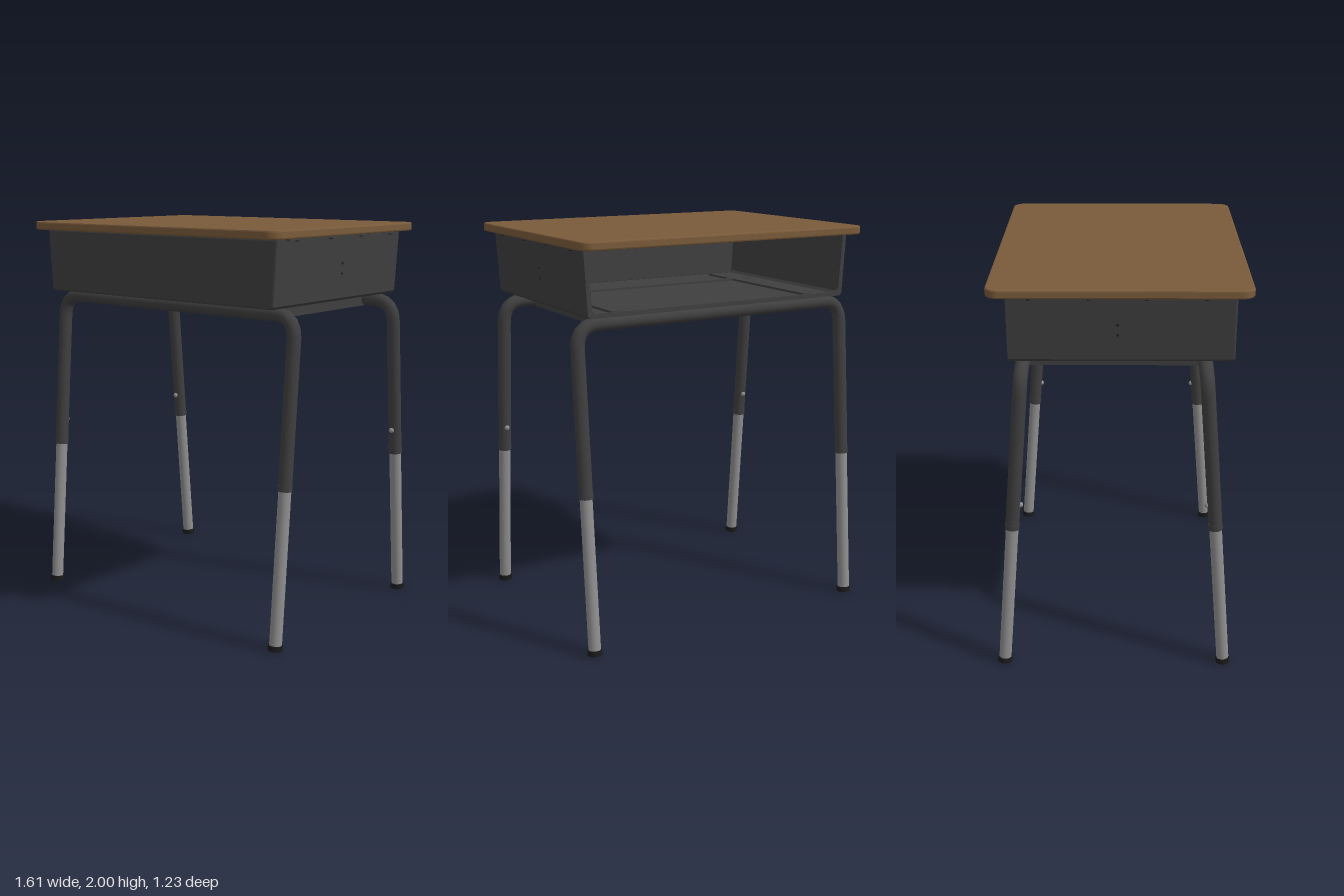
import * as THREE from 'three';

const material = (name, color, side = THREE.FrontSide) => {
  const m = new THREE.MeshStandardMaterial({ color, side });
  m.name = name;
  return m;
};

export function createModel() {
  const wood = material('brown wood', 0x7a5b3b);
  const steel = material('dark steel', 0x3f3f3f, THREE.DoubleSide);
  const chrome = material('grey metal', 0x8f8f8f);
  const rubber = material('black rubber', 0x1b1b1b);

  const desk = new THREE.Group();
  desk.name = 'schoolDesk';

  const add = (name, geometry, mat, x = 0, y = 0, z = 0) => {
    const mesh = new THREE.Mesh(geometry, mat);
    mesh.name = name;
    mesh.position.set(x, y, z);
    desk.add(mesh);
    return mesh;
  };
  const box = (name, w, h, d, mat, x, y, z) => add(name, new THREE.BoxGeometry(w, h, d), mat, x, y, z);

  // straight round bar between two points
  const rod = (name, a, b, radius, mat) => {
    const dir = b.clone().sub(a);
    const mesh = add(name, new THREE.CylinderGeometry(radius, radius, dir.length(), 20), mat);
    mesh.position.copy(a).add(b).multiplyScalar(0.5);
    mesh.quaternion.setFromUnitVectors(new THREE.Vector3(0, 1, 0), dir.normalize());
    return mesh;
  };

  // worktop: rounded rectangle with a softened rim
  const bevel = 0.008, w = 0.805 - bevel, d = 0.605 - bevel, r = 0.055;
  const top = new THREE.Shape();
  top.absarc(w - r, d - r, r, 0, Math.PI / 2);
  top.absarc(-w + r, d - r, r, Math.PI / 2, Math.PI);
  top.absarc(-w + r, -d + r, r, Math.PI, Math.PI * 1.5);
  top.absarc(w - r, -d + r, r, Math.PI * 1.5, Math.PI * 2);
  const topGeometry = new THREE.ExtrudeGeometry(top, {
    depth: 0.042 - 2 * bevel, bevelSize: bevel, bevelThickness: bevel, bevelSegments: 2, curveSegments: 6,
  });
  topGeometry.rotateX(-Math.PI / 2);
  add('worktop', topGeometry, wood, 0, 1.958 + bevel, 0.01);

  // book box: tapered U channel, open at the back
  const outline = (inset, height = 1.958) => [
    [-0.757 + inset, height], [-0.738 + inset, 1.65 + inset], [-0.725 + inset, 1.637 + inset],
    [0.725 - inset, 1.637 + inset], [0.738 - inset, 1.65 + inset], [0.757 - inset, height],
  ].map(([x, y]) => new THREE.Vector2(x, y));
  const channel = (thickness, depth) => new THREE.ExtrudeGeometry(
    new THREE.Shape([...outline(0), ...outline(thickness).reverse()]), { depth, bevelEnabled: false });
  add('bookBoxShell', channel(0.008, 1.025), steel, 0, 0, -0.497);
  add('bookBoxRearLip', channel(0.022, 0.012), steel, 0, 0, -0.505);
  add('bookBoxFront', new THREE.ExtrudeGeometry(new THREE.Shape(outline(0)), {
    depth: 0.002, bevelThickness: 0.01, bevelSize: 0.01, bevelOffset: -0.01, bevelSegments: 2,
  }), steel, 0, 0, 0.528);

  // shallow ridge across the box floor
  box('floorRidge', 1.3, 0.012, 0.03, steel, 0, 1.65, 0.22);

  for (const side of [-1, 1]) {
    // mounting flange, floor rib and support channel
    box('mountingFlange', 0.025, 0.008, 0.9, steel, side * 0.765, 1.953, 0.02);
    box('floorRib', 0.06, 0.012, 0.9, steel, side * 0.56, 1.65, 0);
    box('supportChannel', 0.08, 0.07, 0.84, steel, side * 0.56, 1.602, -0.018);
    for (const z of [-0.3, 0.25])
      add('channelScrew', new THREE.CylinderGeometry(0.01, 0.01, 0.008, 10), chrome, side * 0.56, 1.565, z);

    // side rivets and flange screws
    for (const y of [1.77, 1.82]) {
      const rivet = add('sideRivet', new THREE.CylinderGeometry(0.006, 0.006, 0.008, 8), rubber,
        side * (0.738 + (y - 1.65) * 0.0617), y, 0);
      rivet.rotation.z = Math.PI / 2;
    }
    for (const z of [-0.4, -0.13, 0.13, 0.4])
      add('flangeScrew', new THREE.CylinderGeometry(0.008, 0.008, 0.008, 8), rubber, side * 0.768, 1.947, z);
  }

  // splayed leg frames: foot and top positions in z
  const legX = 0.77, barY = 1.602, bend = 0.11, splitY = 0.785;
  for (const [place, footZ, topZ] of [['front', 0.54, 0.41], ['rear', -0.58, -0.445]]) {
    const at = (x, y) => new THREE.Vector3(x, y, footZ + (topZ - footZ) * y / barY);

    // upper tube runs up one leg, across and down the other
    const path = new THREE.CurvePath();
    const corner = [at(-legX, barY - bend), at(-legX + bend, barY), at(legX - bend, barY), at(legX, barY - bend)];
    path.add(new THREE.LineCurve3(at(-legX, splitY), corner[0]));
    path.add(new THREE.QuadraticBezierCurve3(corner[0], at(-legX, barY), corner[1]));
    path.add(new THREE.LineCurve3(corner[1], corner[2]));
    path.add(new THREE.QuadraticBezierCurve3(corner[2], at(legX, barY), corner[3]));
    path.add(new THREE.LineCurve3(corner[3], at(legX, splitY)));
    add(place + 'FrameTube', new THREE.TubeGeometry(path, 90, 0.034, 16, false), steel);

    for (const side of [-1, 1]) {
      const x = side * legX;
      rod(place + 'LegCollar', at(x, splitY - 0.004), at(x, splitY + 0.025), 0.0355, steel);
      rod(place + 'LowerLeg', at(x, 0.02), at(x, 0.9), 0.031, chrome);
      rod(place + 'Foot', at(x, 0.003), at(x, 0.03), 0.037, rubber);

      // height adjustment screw on the inner face
      const screw = add(place + 'LegScrew', new THREE.SphereGeometry(0.014, 12, 8), chrome);
      screw.position.copy(at(x, 0.91));
      screw.position.z -= Math.sign(footZ) * 0.033;
    }
  }
  return desk;
}
